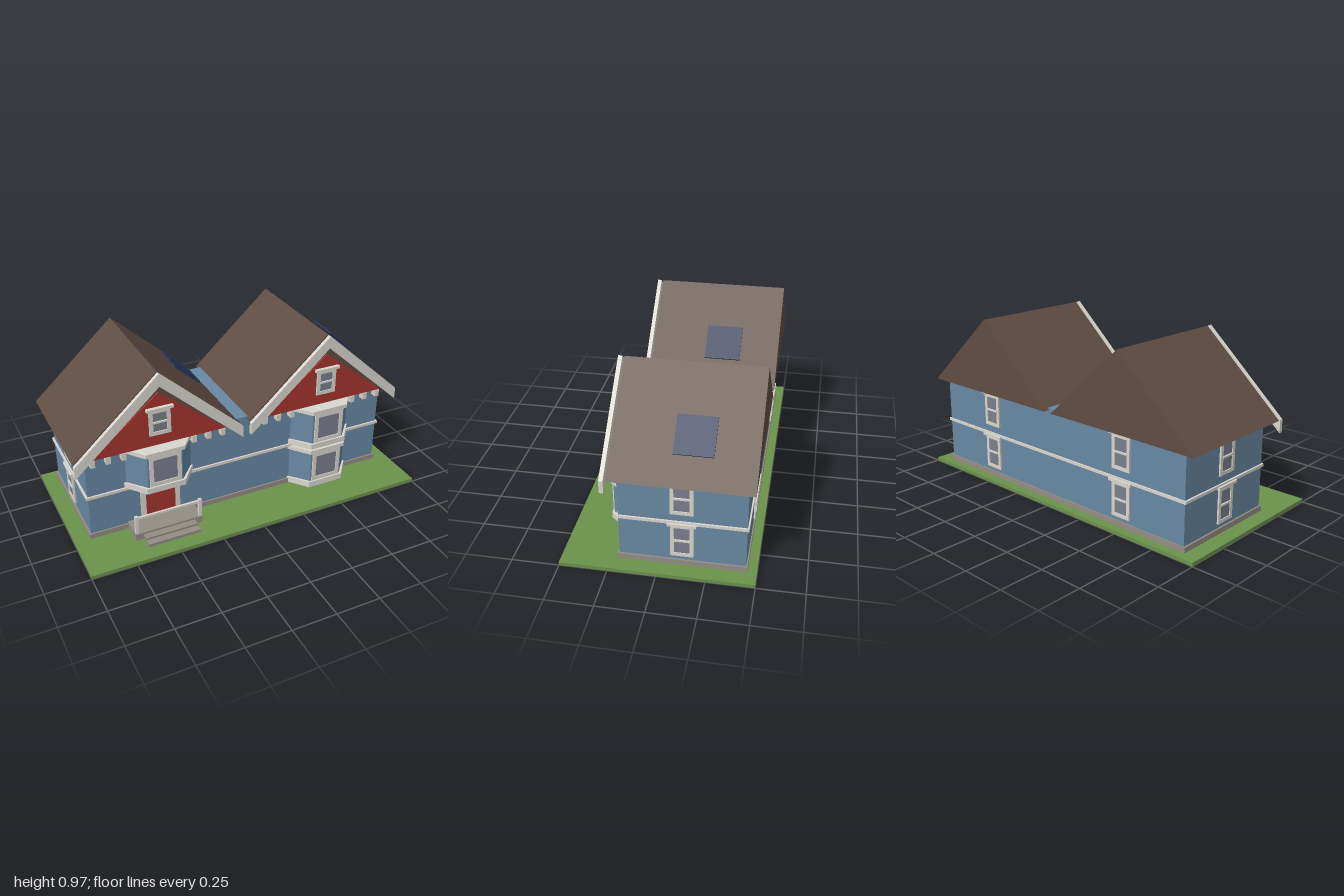
import * as THREE from 'three';

const mat = (name, color) => {
  const m = new THREE.MeshStandardMaterial({ color });
  m.name = name;
  return m;
};

export function createModel() {
  const grass = mat('grass', 0x6b934c), stone = mat('stone', 0x938d84);
  const siding = mat('blue siding', 0x6888a3), trim = mat('off-white trim', 0xd8d6cd);
  const red = mat('red paint', 0xa5342d), shingle = mat('brown shingle', 0x5f4d43);
  const glass = mat('grey glass', 0x7a7e8d), solar = mat('navy panel', 0x2c3558);
  const house = new THREE.Group();
  house.name = 'house';

  const add = (parent, name, geometry, material) => {
    const mesh = new THREE.Mesh(geometry, material);
    mesh.name = name;
    parent.add(mesh);
    return mesh;
  };
  // Box given by its limits on each axis
  const box = (parent, name, material, x0, x1, y0, y1, z0, z1) => {
    const mesh = add(parent, name, new THREE.BoxGeometry(x1 - x0, y1 - y0, z1 - z0), material);
    mesh.position.set((x0 + x1) / 2, (y0 + y1) / 2, (z0 + z1) / 2);
    return mesh;
  };
  const outline = (points) => new THREE.Shape(points.map(([x, y]) => new THREE.Vector2(x, y)));
  // Outline in x and y, extruded from z0 to z1
  const slab = (parent, name, material, points, z0, z1) => {
    const g = new THREE.ExtrudeGeometry(outline(points), { depth: z1 - z0, bevelEnabled: false });
    return add(parent, name, g.translate(0, 0, z0), material);
  };

  // Window standing on the local z = 0 plane, facing +z
  const makeWindow = (parent, { y0, y1, half, inset, sash, header }) => {
    const g = new THREE.Group();
    g.name = 'window';
    const shape = outline([[-half, y0], [half, y0], [half, y1], [-half, y1]]);
    const gx = half - inset, g0 = y0 + inset, g1 = y1 - inset;
    shape.holes.push(outline([[-gx, g0], [-gx, g1], [gx, g1], [gx, g0]]));
    add(g, 'windowFrame', new THREE.ExtrudeGeometry(shape, { depth: 0.01, bevelEnabled: false }), trim);
    box(g, 'windowPane', glass, -gx, gx, g0, g1, 0, 0.005);
    if (sash) box(g, 'windowSash', trim, -gx, gx, (g0 + g1) / 2 - 0.005, (g0 + g1) / 2 + 0.005, 0, 0.013);
    if (header) box(g, 'windowHeader', trim, -half - 0.015, half + 0.015, y1 - 0.003, y1 + 0.012, 0, 0.021);
    parent.add(g);
    return g;
  };

  // Trapezoid bay storey, built on the front wall
  const bayLayer = (parent, name, material, y0, y1, out) => {
    const b = 0.19 + out, f = 0.1 + out * 0.8, zf = 0.305 + out;
    const s = outline([[-b, -0.19], [b, -0.19], [b, -0.2], [f, -zf], [-f, -zf], [-b, -0.2]]);
    const g = new THREE.ExtrudeGeometry(s, { depth: y1 - y0, bevelEnabled: false });
    g.rotateX(-Math.PI / 2).translate(0, y0, 0);
    return add(parent, name, g, material);
  };

  // Ground and main body
  box(house, 'lawn', grass, -1, 1, 0, 0.02, -0.5, 0.5);
  box(house, 'foundation', stone, -0.915, 0.915, 0.02, 0.05, -0.452, 0.212);
  box(house, 'walls', siding, -0.905, 0.905, 0.05, 0.545, -0.445, 0.203);
  box(house, 'beltCourse', trim, -0.915, 0.915, 0.275, 0.291, -0.453, 0.213);

  // Side and back windows on both floors
  for (const [y0, y1] of [[0.075, 0.27], [0.335, 0.525]]) {
    for (const side of [-1, 1]) {
      const opts = { y0, y1, half: 0.059, inset: 0.019, sash: true, header: true };
      const sideWindow = makeWindow(house, opts);
      sideWindow.position.set(side * 0.905, 0, -0.12);
      sideWindow.rotation.y = side * Math.PI / 2;
      const backWindow = makeWindow(house, opts);
      backWindow.position.set(side * 0.5, 0, -0.445);
      backWindow.rotation.y = Math.PI;
    }
  }

  // The two gabled halves
  for (const side of [-1, 1]) {
    const half = new THREE.Group();
    half.name = side < 0 ? 'rightHalf' : 'leftHalf';
    half.position.x = side * 0.5;
    house.add(half);

    slab(half, 'roof', shingle, [[-0.475, 0.535], [0.475, 0.535], [0, 0.965]], -0.483, 0.24);
    slab(half, 'gable', red, [[-0.38, 0.54], [0.38, 0.54], [0, 0.848]], 0.239, 0.25);
    slab(half, 'bargeboard', trim,
      [[-0.475, 0.465], [0, 0.893], [0.475, 0.465], [0.475, 0.535], [0, 0.966], [-0.475, 0.535]], 0.25, 0.272);
    makeWindow(half, { y0: 0.605, y1: 0.757, half: 0.06, inset: 0.021, sash: true, header: true }).position.z = 0.25;

    // Eave brackets
    for (const s of [-1, 1]) {
      for (const x of [0.2, 0.285, 0.37]) {
        box(half, 'eaveBracket', trim, s * x - 0.013, s * x + 0.013, 0.488, 0.53, 0.2, 0.24);
      }
    }

    // Solar panel raised above the slope
    const panel = add(half, 'solarPanel', new THREE.BoxGeometry(0.2, 0.01, 0.2), solar);
    panel.position.set(0.298, 0.727, -0.17);
    panel.rotation.z = -Math.atan2(0.43, 0.475);

    // Upper bay
    bayLayer(half, 'upperBay', siding, 0.3, 0.53, 0);
    bayLayer(half, 'upperBaySill', trim, 0.29, 0.323, 0.012);
    bayLayer(half, 'upperBayCornice', trim, 0.515, 0.538, 0.012);
    makeWindow(half, { y0: 0.328, y1: 0.513, half: 0.09, inset: 0.022 }).position.z = 0.304;

    if (side > 0) {
      // Lower bay
      bayLayer(half, 'lowerBay', siding, 0.03, 0.27, 0);
      bayLayer(half, 'lowerBayBase', trim, 0.025, 0.061, 0.012);
      bayLayer(half, 'lowerBayCornice', trim, 0.255, 0.278, 0.012);
      makeWindow(half, { y0: 0.066, y1: 0.252, half: 0.09, inset: 0.022 }).position.z = 0.304;
    } else {
      // Door, porch, steps and railing
      box(half, 'doorFrame', trim, -0.115, 0.115, 0.06, 0.29, 0.2, 0.212);
      box(half, 'door', red, -0.085, 0.085, 0.06, 0.285, 0.208, 0.216);
      box(half, 'porch', stone, -0.195, 0.195, 0.02, 0.061, 0.2, 0.333);
      box(half, 'upperStep', stone, -0.15, 0.15, 0.02, 0.05, 0.33, 0.373);
      box(half, 'lowerStep', stone, -0.15, 0.15, 0.02, 0.038, 0.37, 0.413);
      for (const s of [-1, 1]) {
        box(half, 'railPost', trim, s * 0.185 - 0.009, s * 0.185 + 0.009, 0.06, 0.172, 0.314, 0.332);
      }
      box(half, 'handrail', trim, -0.185, 0.185, 0.153, 0.165, 0.317, 0.329);
    }
  }
  return house;
}
